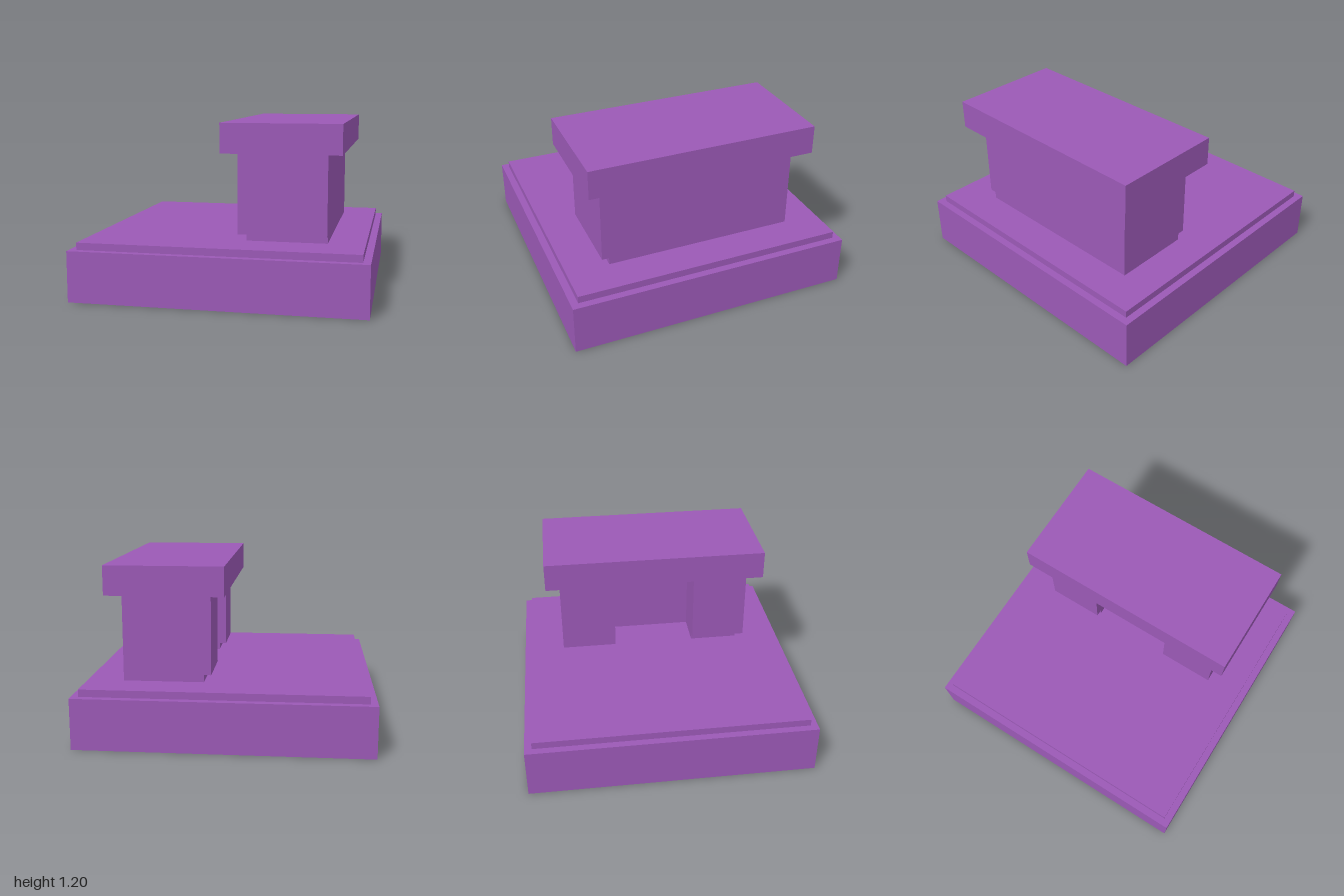
import * as THREE from 'three';

const purple = new THREE.MeshStandardMaterial({ color: 0x9b59b6 });
purple.name = 'purple';

// Box given by its extents on each axis
function slab(name, [x0, x1], [y0, y1], [z0, z1]) {
  const mesh = new THREE.Mesh(new THREE.BoxGeometry(x1 - x0, y1 - y0, z1 - z0), purple);
  mesh.position.set((x0 + x1) / 2, (y0 + y1) / 2, (z0 + z1) / 2);
  mesh.name = name;
  return mesh;
}

// U-shaped wall, open towards -x: two legs joined by a recessed middle
function bracketWall(name, openX, frontZ, y0, y1) {
  const plan = [
    [openX, -0.7], [openX, -0.3], [0.4, -0.3], [0.4, 0.3],
    [openX, 0.3], [openX, frontZ], [0.7, frontZ], [0.7, -0.7],
  ];
  const shape = new THREE.Shape(plan.map(([x, z]) => new THREE.Vector2(x, -z)));
  const geometry = new THREE.ExtrudeGeometry(shape, { depth: y1 - y0, bevelEnabled: false });
  geometry.rotateX(-Math.PI / 2);
  const mesh = new THREE.Mesh(geometry, purple);
  mesh.position.y = y0;
  mesh.name = name;
  return mesh;
}

export function createModel() {
  const model = new THREE.Group();
  model.name = 'pedestal';
  model.add(
    // stepped base
    slab('base', [-1, 1], [0, 0.35], [-1, 1]),
    slab('baseStep', [-0.95, 0.95], [0.35, 0.4], [-0.95, 0.95]),
    // foot is inset on the open side and the front
    bracketWall('foot', 0.15, 0.65, 0.4, 0.45),
    bracketWall('wall', 0.1, 0.7, 0.45, 1),
    // overhanging top
    slab('topSlab', [0, 0.8], [1, 1.2], [-0.8, 0.8]),
  );
  return model;
}
